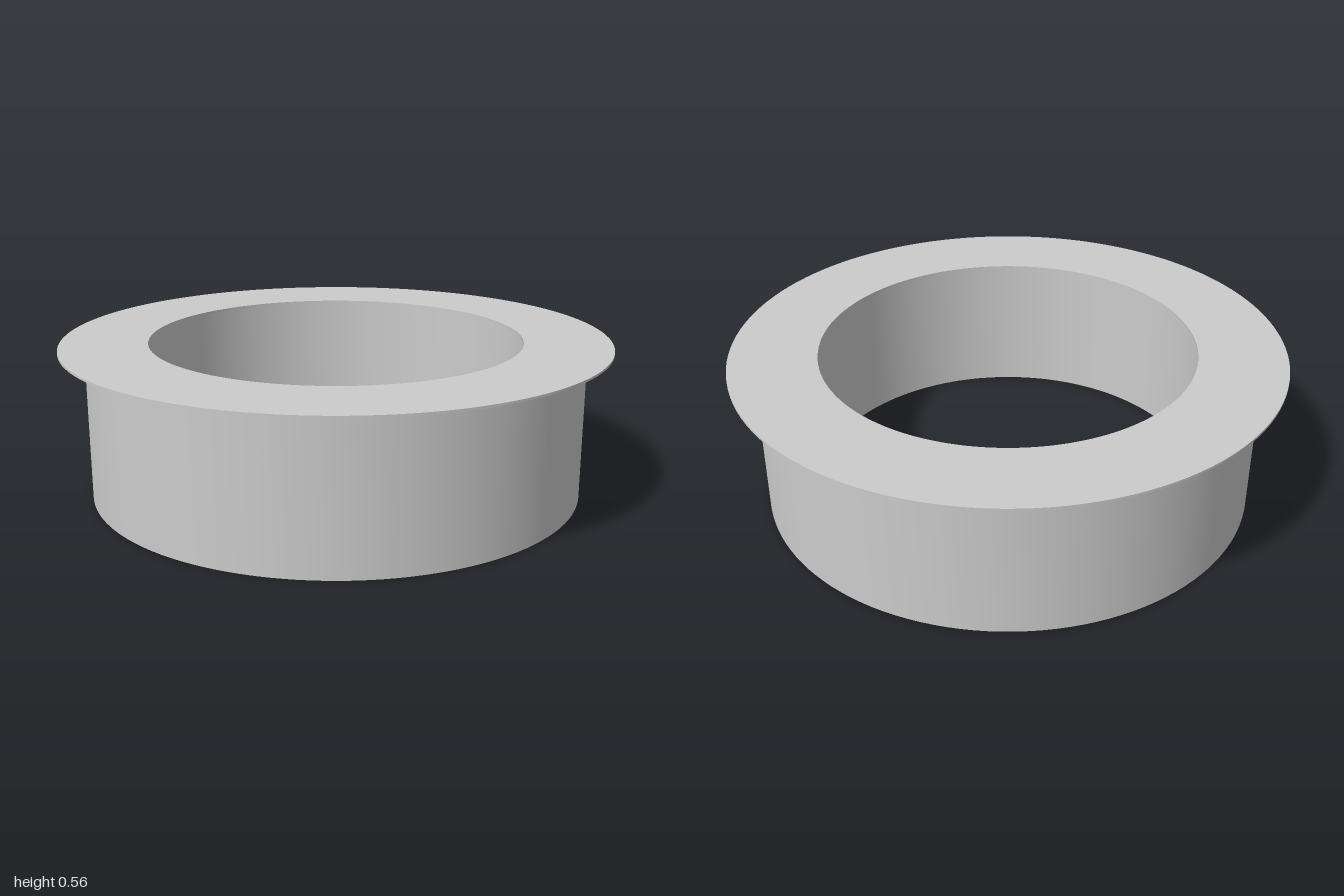
import * as THREE from 'three';
import { toCreasedNormals } from 'three/addons/utils/BufferGeometryUtils.js';

const material = new THREE.MeshStandardMaterial({ color: 0xcccccc });

// Flat ring with a round hole, standing upright from y = bottom to y = top
function ring(name, outer, inner, bottom, top) {
  const shape = new THREE.Shape().absarc(0, 0, outer, 0, Math.PI * 2);
  shape.holes.push(new THREE.Path().absarc(0, 0, inner, 0, Math.PI * 2, true));
  const geometry = new THREE.ExtrudeGeometry(shape, {
    depth: top - bottom,
    bevelEnabled: false,
    curveSegments: 64,
  });
  geometry.rotateX(-Math.PI / 2).translate(0, bottom, 0);
  const mesh = new THREE.Mesh(toCreasedNormals(geometry, Math.PI / 6), material);
  mesh.name = name;
  return mesh;
}

export function createModel() {
  const group = new THREE.Group();
  group.name = 'flangedRing';
  const flangeBottom = 0.547;

  // Thick-walled sleeve
  group.add(ring('sleeve', 0.907, 0.73, 0, flangeBottom));

  // Thin flange, overhanging the sleeve both outside and inside
  group.add(ring('flange', 1, 0.683, flangeBottom, 0.555));

  return group;
}
